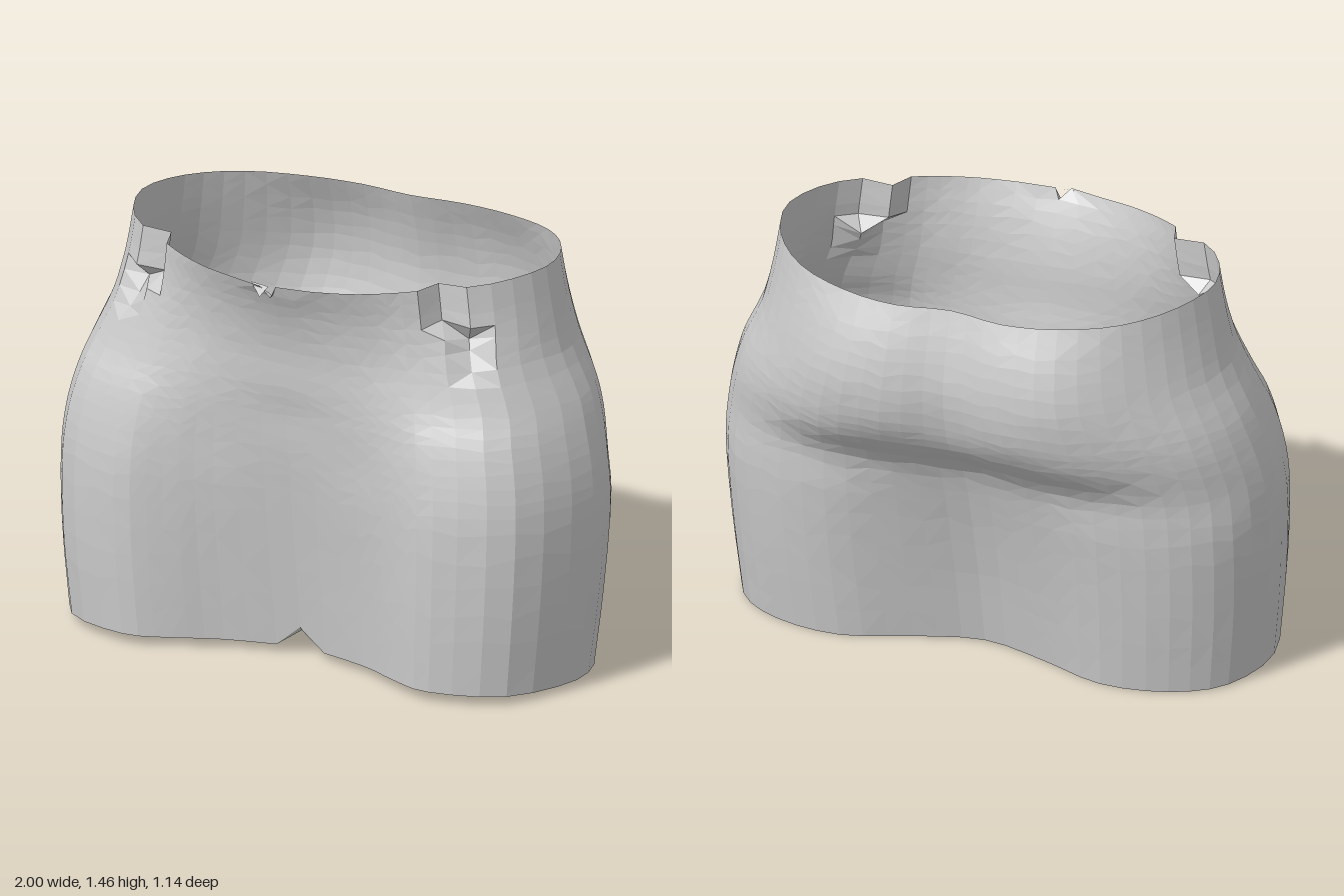
import * as THREE from 'three';

// Half cross-sections from front centre, round the left hip, to back centre.
// X positions are fractions of the half width; each level is [y, half width, z of every point].
const ACROSS = [0, .28, .45, .62, .88, 1, .93, .75, .5, .25, 0];
const LEVELS = [
  [0.00, .96, [.30, .36, .44, .49, .39, .10, -.15, -.27, -.30, -.22, -.16]],
  [0.30, .99, [.34, .39, .46, .505, .40, .08, -.17, -.31, -.345, -.28, -.22]],
  [0.60, 1.0, [.38, .42, .47, .505, .39, .06, -.20, -.34, -.39, -.35, -.30]],
  [0.76, .985, [.40, .425, .465, .485, .37, .04, -.20, -.35, -.41, -.40, -.36]],
  [0.90, .95, [.41, .43, .45, .455, .34, .02, -.23, -.39, -.50, -.51, -.48]],
  [1.00, .915, [.425, .43, .435, .42, .30, 0, -.24, -.41, -.535, -.56, -.52]],
  [1.15, .845, [.435, .43, .415, .39, .27, 0, -.24, -.42, -.555, -.575, -.54]],
  [1.30, .81, [.47, .45, .42, .37, .23, 0, -.22, -.40, -.525, -.55, -.515]],
  [1.44, .785, [.525, .49, .445, .37, .22, 0, -.21, -.375, -.465, -.495, -.47]],
];
const HALF = 30, ROWS = 24, AROUND = HALF * 2;

// Smooth closed outline of one level, sampled by column
function outline([y, w, zs]) {
  const half = ACROSS.map((f, i) => new THREE.Vector3(f * w, y, zs[i]));
  const mirrored = half.slice(1, -1).reverse().map(p => new THREE.Vector3(-p.x, y, p.z));
  const curve = new THREE.CatmullRomCurve3([...half, ...mirrored], true, 'catmullrom', .5);
  return Array.from({ length: AROUND }, (_, i) => curve.getPoint(i / AROUND));
}

function seeded(seed) {
  return () => {
    seed = (seed * 16807) % 2147483647;
    return seed / 2147483647 - .5;
  };
}

function skirtGeometry() {
  const outlines = LEVELS.map(outline);
  const columns = Array.from({ length: AROUND }, (_, c) =>
    new THREE.CatmullRomCurve3(outlines.map(o => o[c]), false, 'centripetal'));
  const rand = seeded(41);
  const positions = [], index = [];

  for (let r = 0; r <= ROWS; r++) {
    const t = r / ROWS;
    for (let c = 0; c < AROUND; c++) {
      const inner = r > 0 && r < ROWS;
      // slight irregularity of the cloth facets, sliding along the surface
      const p = columns[c].getPoint(inner ? t + rand() * .016 : t);
      const fromFront = Math.min(c, AROUND - c);

      // hem rises to the front, waist is highest at the sides
      p.y += (1 - t) * (.014 + .045 * p.z);
      p.y += t ** 4 * (.02 - .16 * p.z * p.z);

      // pleat creases running down from the front of the waist
      const pleatColumn = p.y > 1.3 ? 10 : 11;
      if (p.y > 1.13 && fromFront === pleatColumn) {
        const depth = .05 * Math.min(1, (p.y - 1.1) / .15);
        p.x -= Math.sign(p.x) * depth * .7;
        p.z -= depth;
      }

      // small notches at the front centre of the hem and waist
      if (c === 0 && r === 0) p.y += .065;
      if (c === 0 && r === ROWS) p.y -= .04;
      if (c === AROUND - 1 && r === ROWS) { p.x += .04; p.z += .015; }
      if (c === 1 && r === ROWS) p.x -= .06;
      positions.push(p.x, p.y, p.z);
    }
  }

  for (let r = 0; r < ROWS; r++) {
    for (let c = 0; c < AROUND; c++) {
      const n = (c + 1) % AROUND;
      const a = r * AROUND + c, b = r * AROUND + n;
      const d = a + AROUND, e = b + AROUND;
      // varied diagonals
      if (rand() > 0) index.push(a, b, e, a, e, d);
      else index.push(a, b, d, b, e, d);
    }
  }

  const indexed = new THREE.BufferGeometry();
  indexed.setAttribute('position', new THREE.Float32BufferAttribute(positions, 3));
  indexed.setIndex(index);
  const geometry = indexed.toNonIndexed();
  geometry.computeVertexNormals();
  return geometry;
}

export function createModel() {
  const model = new THREE.Group();
  model.name = 'shortSkirt';
  const cloth = new THREE.MeshStandardMaterial({
    color: 0xcccccc, flatShading: true, side: THREE.DoubleSide,
  });

  // Open cloth shell
  const skirt = new THREE.Mesh(skirtGeometry(), cloth);
  skirt.name = 'skirt';
  model.add(skirt);

  // Turned-out corner beside the waist notch
  const corner = new THREE.BufferGeometry();
  corner.setAttribute('position', new THREE.Float32BufferAttribute(
    [-.08, 1.42, .515, -.02, 1.39, .565, -.01, 1.415, .52], 3));
  corner.computeVertexNormals();
  const flap = new THREE.Mesh(corner, cloth);
  flap.name = 'waistCorner';
  model.add(flap);

  return model;
}
